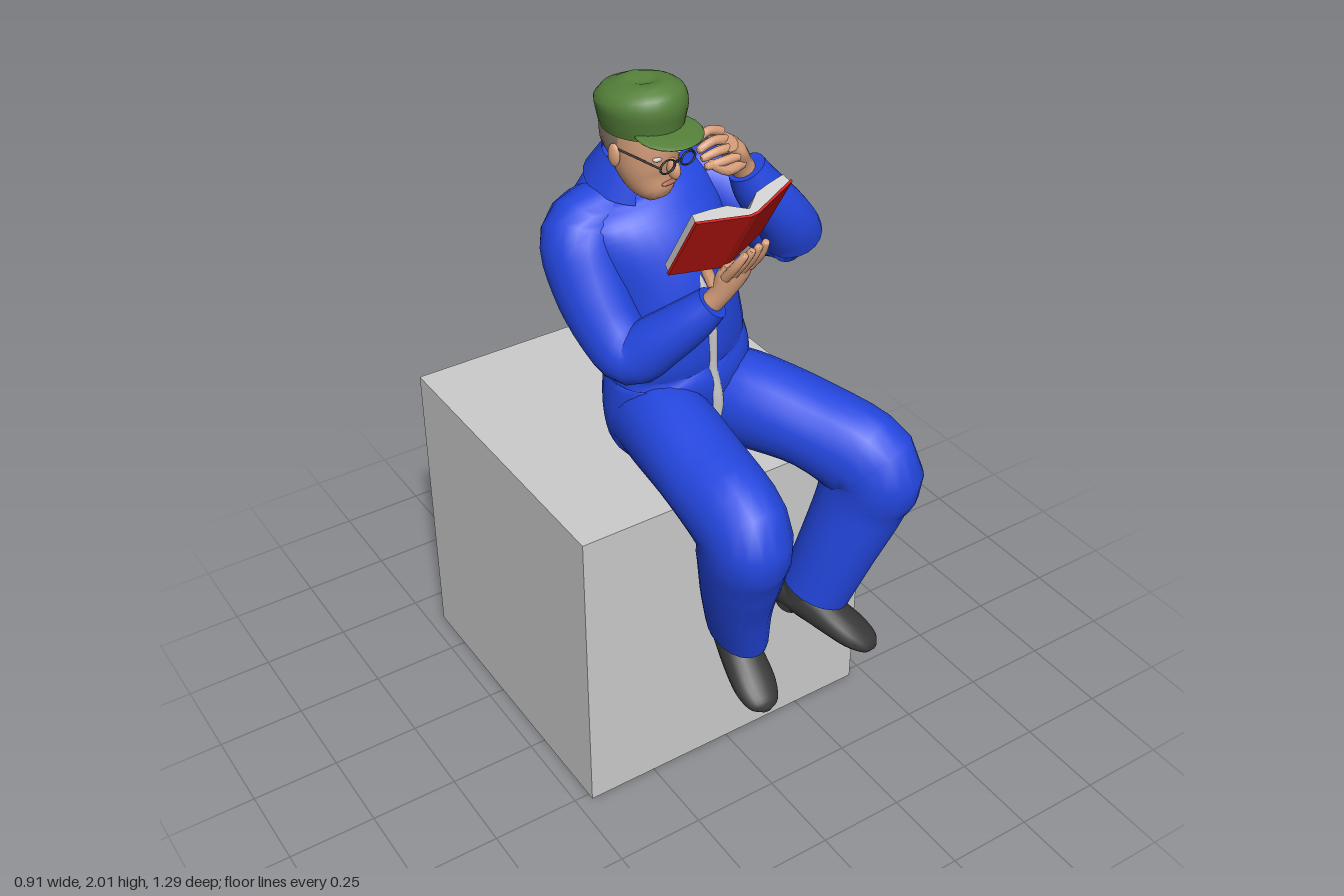
import * as THREE from 'three';
import { toCreasedNormals } from 'three/addons/utils/BufferGeometryUtils.js';

const V = (x, y, z) => new THREE.Vector3(x, y, z);
const mat = (color) => new THREE.MeshStandardMaterial({ color });
const GREY = mat(0xcccccc), BLUE = mat(0x2447e0), GREEN = mat(0x55803a), SKIN = mat(0xd9a07c);
const RED = mat(0xcc1a15), BLACK = mat(0x383838), HAIR = mat(0x8a7a6a), ORANGE = mat(0xe06a1c);

// Smooth elliptical loft through sections [x, y, z, radiusAlongSide, radiusAcross]
function loft(sections, side = V(1, 0, 0), sides = 20, steps = 4) {
  const path = new THREE.CatmullRomCurve3(sections.map((s) => V(s[0], s[1], s[2])), false, 'catmullrom');
  const size = new THREE.CatmullRomCurve3(sections.map((s) => V(s[3], s[4], 0)), false, 'catmullrom');
  const n = (sections.length - 1) * steps, pos = [], index = [];
  for (let i = 0; i <= n; i++) {
    const c = path.getPoint(i / n), r = size.getPoint(i / n), t = path.getTangent(i / n);
    const u = side.clone().addScaledVector(t, -side.dot(t)).normalize();
    const v = u.clone().cross(t);
    for (let j = 0; j < sides; j++) {
      const a = (j / sides) * Math.PI * 2;
      const p = c.clone().addScaledVector(u, Math.cos(a) * r.x).addScaledVector(v, Math.sin(a) * r.y);
      pos.push(p.x, p.y, p.z);
    }
  }
  const first = path.getPoint(0), last = path.getPoint(1), k = (n + 1) * sides;
  pos.push(first.x, first.y, first.z, last.x, last.y, last.z);
  for (let j = 0; j < sides; j++) {
    const q = (j + 1) % sides;
    for (let i = 0; i < n; i++) {
      const a = i * sides + j, b = i * sides + q;
      index.push(a, a + sides, b, b, a + sides, b + sides);
    }
    index.push(k, j, q, k + 1, n * sides + q, n * sides + j);
  }
  const g = new THREE.BufferGeometry();
  g.setAttribute('position', new THREE.Float32BufferAttribute(pos, 3));
  g.setIndex(index);
  return toCreasedNormals(g, 0.9);
}

// Side vector at right angles to the plane in which a limb bends
const bend = (s) => {
  const p = s.map((q) => V(q[0], q[1], q[2])), e = p.length - 1;
  return p[1].clone().sub(p[0]).cross(p[e].clone().sub(p[e - 1])).normalize();
};

function add(parent, name, geometry, material, position) {
  const m = new THREE.Mesh(geometry, material);
  m.name = name;
  if (position) m.position.set(...position);
  parent.add(m);
  return m;
}

function ellipsoid(parent, name, material, p, r) {
  const m = add(parent, name, new THREE.SphereGeometry(1, 20, 14), material, p);
  m.scale.set(...r);
  return m;
}

// Fingers given as [knuckle, middle joint, tip]
function fingers(parent, name, list, r = 0.0125) {
  list.forEach(([a, b, c]) => add(parent, name, loft([
    [...a, r, r], [...b, r, r], [...c, r * 0.8, r * 0.8], [...c.map((v, i) => v + (v - b[i]) * 0.15), r * 0.3, r * 0.3],
  ], V(0.3, 0.2, 1).normalize(), 8, 3), SKIN));
}

export function createModel() {
  const model = new THREE.Group();
  model.name = 'seatedReader';
  add(model, 'seatBlock', new THREE.BoxGeometry(0.91, 0.915, 0.91), GREY, [0, 0.4575, -0.185]);

  // Overalls: torso
  add(model, 'torso', loft([
    [0, 0.916, 0.03, 0.15, 0.11], [0, 0.98, 0.02, 0.2, 0.155], [0, 1.08, 0, 0.215, 0.158],
    [0, 1.19, 0.01, 0.208, 0.165], [-0.005, 1.225, 0.01, 0.196, 0.152], [-0.01, 1.26, 0.008, 0.198, 0.165],
    [-0.02, 1.36, -0.01, 0.19, 0.182], [-0.03, 1.46, -0.035, 0.2, 0.185], [-0.05, 1.57, -0.07, 0.225, 0.173],
    [-0.06, 1.65, -0.085, 0.215, 0.142], [-0.07, 1.71, -0.085, 0.15, 0.105], [-0.08, 1.755, -0.07, 0.085, 0.075],
  ], V(1, 0, -0.12).normalize(), 32), BLUE);
  add(model, 'zipper', loft([
    [0.03, 1.04, 0.163, 0.018, 0.01], [0.022, 1.14, 0.17, 0.016, 0.01], [0.01, 1.225, 0.164, 0.013, 0.01],
    [0, 1.36, 0.172, 0.013, 0.01], [-0.015, 1.46, 0.15, 0.013, 0.01], [-0.03, 1.57, 0.103, 0.013, 0.01],
    [-0.045, 1.65, 0.057, 0.012, 0.01],
  ], V(1, 0, 0), 8), GREY);
  const pocket = new THREE.Group();
  pocket.name = 'chestPocket';
  pocket.position.set(0.09, 1.48, 0.09);
  pocket.rotation.set(-0.25, 0.55, 0, 'YXZ');
  model.add(pocket);
  add(pocket, 'pocketPatch', new THREE.BoxGeometry(0.12, 0.12, 0.03), BLUE);
  add(pocket, 'pen', new THREE.CylinderGeometry(0.005, 0.005, 0.05, 8), RED, [0, 0.06, 0.016]);

  // Collar, undershirt and neck
  const collarMat = BLUE.clone();
  collarMat.side = THREE.DoubleSide;
  const collar = add(model, 'collar', new THREE.CylinderGeometry(0.082, 0.12, 0.085, 24, 2, true, 0.45, Math.PI * 2 - 0.9),
    collarMat, [-0.082, 1.745, -0.065]);
  collar.rotation.x = 0.25;
  add(model, 'undershirt', loft([[-0.08, 1.7, -0.05, 0.085, 0.09], [-0.08, 1.765, -0.055, 0.068, 0.07]]), ORANGE);
  add(model, 'neck', loft([[-0.08, 1.7, -0.06, 0.063, 0.063], [-0.09, 1.78, -0.04, 0.06, 0.065], [-0.1, 1.85, -0.02, 0.06, 0.07]]), SKIN);

  // Head, turned slightly to its left
  const head = new THREE.Group();
  head.name = 'head';
  head.position.set(-0.1, 0, 0.005);
  head.rotation.y = 0.2;
  model.add(head);
  add(head, 'face', loft([
    [0, 1.705, 0.06, 0.025, 0.025], [0, 1.725, 0.05, 0.048, 0.05], [0, 1.77, 0.025, 0.07, 0.08],
    [0, 1.83, 0.008, 0.08, 0.1], [0, 1.92, 0, 0.083, 0.105],
  ], V(1, 0, 0), 24), SKIN);
  add(head, 'hair', loft([[0, 1.8, -0.03, 0.065, 0.062], [0, 1.84, -0.025, 0.083, 0.085], [0, 1.92, -0.02, 0.088, 0.094]]), HAIR);
  const nose = ellipsoid(head, 'nose', SKIN, [0, 1.8, 0.11], [0.014, 0.028, 0.02]);
  nose.rotation.x = -0.3;
  ellipsoid(head, 'mouth', mat(0xb06a58), [0, 1.757, 0.095], [0.024, 0.006, 0.008]);
  for (const s of [-1, 1]) {
    ellipsoid(head, 'ear', SKIN, [s * 0.086, 1.825, -0.005], [0.01, 0.03, 0.019]);
    const lens = add(head, 'glassesRim', new THREE.TorusGeometry(0.024, 0.003, 6, 20), BLACK, [s * 0.034, 1.822, 0.125]);
    lens.scale.y = 0.7;
    ellipsoid(head, 'eye', mat(0xeeeeee), [s * 0.034, 1.83, 0.09], [0.014, 0.007, 0.01]);
    add(head, 'glassesArm', new THREE.TubeGeometry(new THREE.LineCurve3(
      V(s * 0.058, 1.825, 0.125), V(s * 0.086, 1.845, -0.005)), 2, 0.003, 6), BLACK);
  }
  add(head, 'glassesBridge', new THREE.BoxGeometry(0.022, 0.005, 0.005), BLACK, [0, 1.826, 0.125]);

  // Cap
  add(head, 'cap', loft([
    [0, 1.88, 0, 0.093, 0.11], [0, 1.915, 0, 0.102, 0.116], [0, 1.955, 0, 0.107, 0.12],
    [0, 1.983, -0.003, 0.088, 0.1], [0, 1.997, -0.005, 0.05, 0.06], [0, 2, -0.005, 0.004, 0.004],
  ], V(1, 0, 0), 28), GREEN);
  const brim = ellipsoid(head, 'capBrim', GREEN, [0, 1.89, 0.095], [0.09, 0.01, 0.08]);
  brim.rotation.x = 0.14;

  // Sleeves
  const leftSleeve = [
    [0.07, 1.635, -0.11, 0.09, 0.09], [0.15, 1.625, -0.08, 0.1, 0.105], [0.235, 1.56, 0.01, 0.09, 0.095],
    [0.292, 1.502, 0.09, 0.075, 0.085], [0.25, 1.575, 0.115, 0.07, 0.075], [0.18, 1.67, 0.107, 0.062, 0.064],
    [0.145, 1.735, 0.1, 0.05, 0.05],
  ];
  const rightSleeve = [
    [-0.15, 1.62, -0.085, 0.1, 0.09], [-0.235, 1.58, -0.065, 0.1, 0.105], [-0.25, 1.48, -0.01, 0.09, 0.098],
    [-0.235, 1.375, 0.06, 0.08, 0.088], [-0.212, 1.325, 0.125, 0.07, 0.08], [-0.16, 1.385, 0.185, 0.066, 0.07],
    [-0.105, 1.455, 0.24, 0.057, 0.058], [-0.07, 1.505, 0.272, 0.045, 0.045],
  ];
  add(model, 'leftSleeve', loft(leftSleeve, bend(leftSleeve)), BLUE);
  add(model, 'rightSleeve', loft(rightSleeve, V(-0.8, 0.3, 0.5).normalize()), BLUE);

  // Left hand adjusting the glasses
  add(model, 'leftHand', loft([
    [0.15, 1.71, 0.1, 0.03, 0.03], [0.125, 1.755, 0.1, 0.03, 0.034], [0.1, 1.8, 0.103, 0.028, 0.048], [0.078, 1.825, 0.105, 0.022, 0.045],
  ], V(0.7, 0.7, 0).normalize(), 14), SKIN);
  fingers(model, 'leftFinger', [0, 1, 2, 3].map((i) => [
    [0.09, 1.835 - i * 0.012, 0.07 + i * 0.024], [0.045, 1.85 - i * 0.018, 0.075 + i * 0.022], [0.005, 1.835 - i * 0.015, 0.082 + i * 0.017],
  ]));
  fingers(model, 'leftThumb', [[[0.11, 1.77, 0.13], [0.06, 1.77, 0.145], [0.015, 1.795, 0.135]]], 0.014);

  // Right hand holding the book
  add(model, 'rightHand', loft([
    [-0.078, 1.49, 0.262, 0.03, 0.027], [-0.055, 1.535, 0.285, 0.033, 0.026], [-0.035, 1.58, 0.3, 0.046, 0.025], [-0.025, 1.615, 0.312, 0.045, 0.018],
  ], V(1, -0.3, 0).normalize(), 14), SKIN);
  fingers(model, 'rightFinger', [0, 1, 2, 3].map((i) => [
    [-0.066 + i * 0.024, 1.595 + i * 0.004, 0.318], [-0.058 + i * 0.024, 1.64 + i * 0.005, 0.35], [-0.045 + i * 0.02, 1.672 + i * 0.006, 0.366],
  ]));
  fingers(model, 'rightThumb', [[[-0.075, 1.56, 0.28], [-0.085, 1.61, 0.262], [-0.078, 1.66, 0.268]]], 0.014);

  // Open book: cover and pages extruded along the spine
  const book = new THREE.Group();
  book.name = 'book';
  book.position.set(-0.055, 1.725, 0.325);
  book.rotation.set(0.52, 0.14, 0.03, 'YXZ');
  model.add(book);
  const slab = (name, points, height, material) => {
    const g = new THREE.ExtrudeGeometry(new THREE.Shape(points.map(([x, z]) => new THREE.Vector2(x, -z))),
      { depth: height, bevelEnabled: false });
    g.rotateX(-Math.PI / 2).translate(0, -height / 2, 0);
    add(book, name, g, material);
  };
  const outer = [[-0.148, -0.005], [-0.012, 0.034], [0.012, 0.034], [0.148, -0.005]];
  slab('cover', [...outer, ...outer.map(([x, z]) => [x, z - 0.007]).reverse()], 0.21, RED);
  slab('pages', [...outer.map(([x, z]) => [x * 0.98, z - 0.006]),
    [0.14, -0.032], [0.09, -0.026], [0.045, -0.018], [0, 0.012], [-0.045, -0.018], [-0.09, -0.026], [-0.14, -0.032]], 0.203, GREY);

  // Trouser legs
  const rightLeg = [
    [-0.1, 1.05, 0, 0.11, 0.12], [-0.11, 1.065, 0.13, 0.12, 0.135], [-0.125, 1.045, 0.33, 0.122, 0.12],
    [-0.13, 0.99, 0.5, 0.115, 0.14], [-0.12, 0.88, 0.49, 0.11, 0.13], [-0.1, 0.72, 0.445, 0.09, 0.112],
    [-0.065, 0.555, 0.4, 0.073, 0.108],
  ];
  const leftLeg = [
    [0.1, 1.05, 0, 0.11, 0.12], [0.14, 1.065, 0.13, 0.12, 0.135], [0.235, 1.045, 0.31, 0.12, 0.12],
    [0.305, 0.985, 0.46, 0.11, 0.14], [0.3, 0.88, 0.45, 0.105, 0.125], [0.255, 0.72, 0.42, 0.095, 0.11],
    [0.21, 0.555, 0.385, 0.085, 0.1],
  ];
  add(model, 'rightTrouserLeg', loft(rightLeg, V(1, 0, 0), 20), BLUE);
  add(model, 'leftTrouserLeg', loft(leftLeg, V(0.9, 0, -0.42).normalize(), 20), BLUE);

  // Shoes, pointing along +z from the heel
  const shoe = (name, x, z, turn) => {
    const g = new THREE.Group();
    g.name = name;
    g.position.set(x, 0, z);
    g.rotation.y = turn;
    model.add(g);
    add(g, 'shoeUpper', loft([
      [0, 0.545, -0.005, 0.025, 0.035], [0, 0.53, 0.015, 0.042, 0.06], [0, 0.495, 0.085, 0.052, 0.06],
      [0, 0.455, 0.155, 0.06, 0.047], [0, 0.418, 0.22, 0.06, 0.036], [0, 0.393, 0.267, 0.042, 0.022], [0, 0.384, 0.285, 0.01, 0.006],
    ]), BLACK);
    add(g, 'shoeAnkle', loft([[0, 0.64, 0.08, 0.05, 0.06], [0, 0.5, 0.055, 0.05, 0.06]]), BLACK);
    const heel = add(g, 'shoeHeel', new THREE.CylinderGeometry(0.04, 0.036, 0.03, 16), BLACK, [0, 0.475, 0.03]);
    heel.rotation.x = 0.45;
  };
  shoe('rightShoe', -0.045, 0.285, -0.12);
  shoe('leftShoe', 0.155, 0.295, 0.62);

  return model;
}
